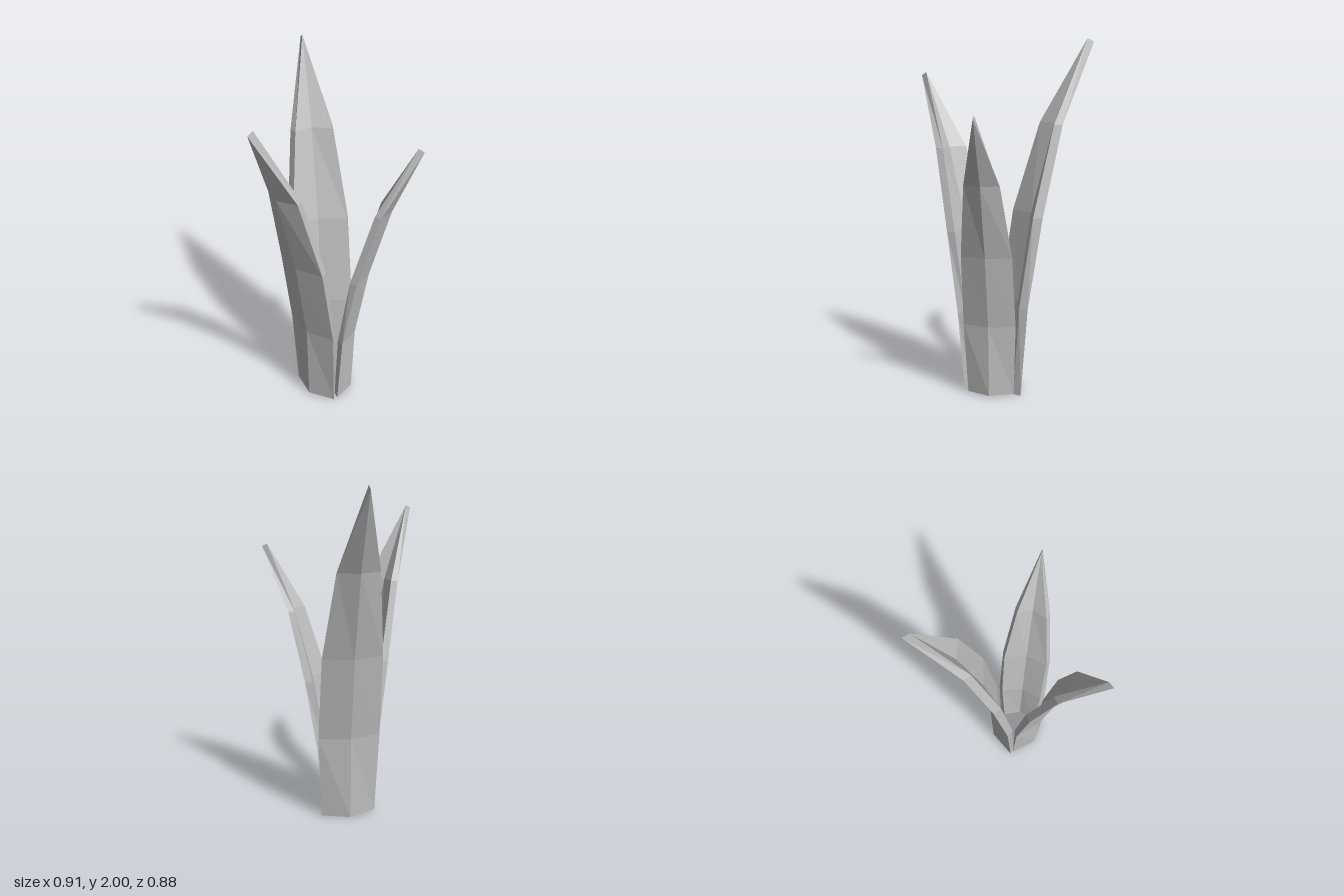
import * as THREE from 'three';

// Leaf rings from base to tip: height, half widths of the inner and outer rims,
// and outward offsets of the inner fold, inner rim, outer rim and outer ridge.
const RINGS = [
  { y: 0.00, wi: 0.125, wo: 0.165, fold: 0.000, rimIn: -0.050, rimOut: -0.020, ridge: 0.045 },
  { y: 0.51, wi: 0.155, wo: 0.185, fold: 0.025, rimIn: -0.025, rimOut: 0.015, ridge: 0.065 },
  { y: 1.02, wi: 0.160, wo: 0.178, fold: 0.105, rimIn: 0.055, rimOut: 0.105, ridge: 0.155 },
  { y: 1.53, wi: 0.105, wo: 0.122, fold: 0.245, rimIn: 0.200, rimOut: 0.245, ridge: 0.295 },
  { y: 2.00, wi: 0, wo: 0, fold: 0.445, rimIn: 0.445, rimOut: 0.485, ridge: 0.485, drop: 0.02 },
];

// Thick V-shaped cross-section, six corners
function section({ y, wi, wo, fold, rimIn, rimOut, ridge, drop = 0 }) {
  const lo = y - drop;
  return [
    [0, y, fold], [wi, y, rimIn], [wo, lo, rimOut],
    [0, lo, ridge], [-wo, lo, rimOut], [-wi, y, rimIn],
  ].map((p) => new THREE.Vector3(...p));
}

function leafGeometry() {
  const pos = [];
  const tri = (a, b, c) => {
    const area = b.clone().sub(a).cross(c.clone().sub(a)).length();
    if (area > 1e-7) for (const p of [a, b, c]) pos.push(p.x, p.y, p.z);
  };
  const quad = (a, b, c, d) => { tri(a, b, c); tri(a, c, d); };

  const rings = RINGS.map(section);
  for (let i = 0; i < rings.length - 1; i++) {
    for (let j = 0; j < 6; j++) {
      const k = (j + 1) % 6;
      quad(rings[i][j], rings[i + 1][j], rings[i + 1][k], rings[i][k]);
    }
  }
  // Base cap, one half on each side of the fold
  const b = rings[0];
  quad(b[0], b[1], b[2], b[3]);
  quad(b[0], b[3], b[4], b[5]);

  const geo = new THREE.BufferGeometry();
  geo.setAttribute('position', new THREE.Float32BufferAttribute(pos, 3));
  geo.computeVertexNormals();
  return geo;
}

export function createModel() {
  const group = new THREE.Group();
  group.name = 'leafCluster';
  const material = new THREE.MeshStandardMaterial({ color: 0xc0c0c0 });
  material.name = 'leaf grey';
  const geo = leafGeometry();

  // Three leaves of different size around a common centre
  const leaves = [
    { name: 'backLeaf', at: [0.025, 0, 0.045], turn: Math.PI, size: 1 },
    { name: 'rightLeaf', at: [-0.075, 0.01, 0.222], turn: -Math.PI / 3, size: 0.9 },
    { name: 'leftLeaf', at: [0.12, 0.01, 0.222], turn: Math.PI / 3, size: 0.8 },
  ];
  for (const { name, at, turn, size } of leaves) {
    const leaf = new THREE.Mesh(geo, material);
    leaf.name = name;
    leaf.position.set(...at);
    leaf.rotation.y = turn;
    leaf.scale.setScalar(size);
    group.add(leaf);
  }
  return group;
}
